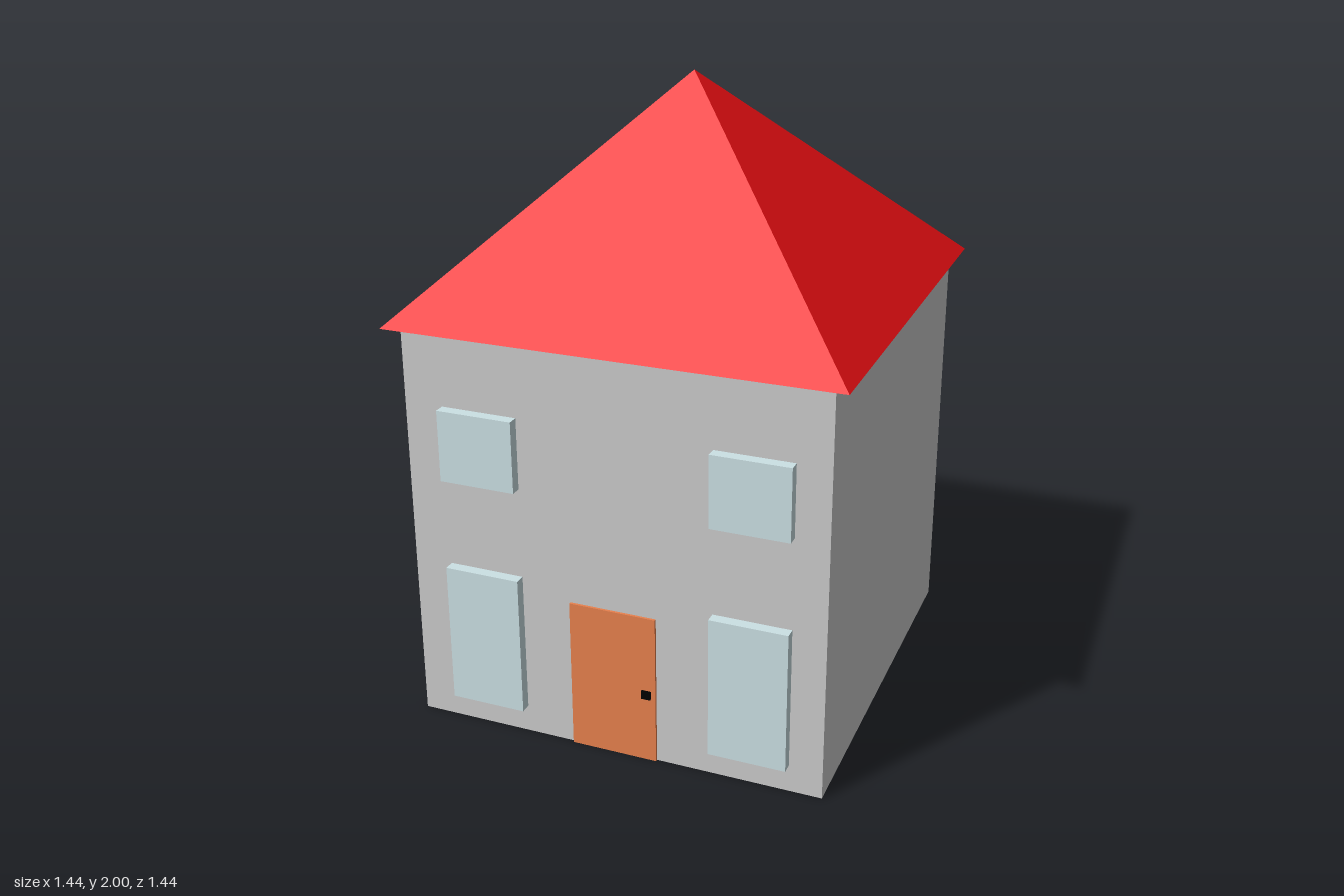
import * as THREE from 'three';

const WALL = 0.67; // half width of the walls
const EAVES = 1.315;

function material(color) {
  return new THREE.MeshStandardMaterial({ color, flatShading: true });
}

export function createModel() {
  const house = new THREE.Group();
  house.name = 'house';

  function add(name, geometry, mat, x, y, z) {
    const mesh = new THREE.Mesh(geometry, mat);
    mesh.name = name;
    mesh.position.set(x, y, z);
    house.add(mesh);
    return mesh;
  }

  // Walls
  add('walls', new THREE.BoxGeometry(2 * WALL, EAVES, 2 * WALL), material(0xcccccc), 0, EAVES / 2, 0);

  // Pyramid roof with overhanging eaves, turned a hair past square
  const roofHeight = 2 - EAVES;
  const roof = add('roof', new THREE.ConeGeometry(1.011, roofHeight, 4), material(0xf01014), 0, EAVES + roofHeight / 2, 0);
  roof.rotation.y = 0.79;

  // Door and its handle
  add('door', new THREE.BoxGeometry(0.28, 0.495, 0.02), material(0xe8814e), 0, 0.2475, WALL - 0.002);
  add('doorHandle', new THREE.BoxGeometry(0.03, 0.027, 0.03), material(0x000000), 0.11, 0.232, WALL);

  // Windows: tall ones downstairs, short ones upstairs
  const glass = material(0xcce1e5);
  for (const [floor, bottom, top] of [['lower', 0.09, 0.55], ['upper', 0.845, 1.075]]) {
    for (const [side, x] of [['Right', -0.4225], ['Left', 0.4425]]) {
      add(`${floor}${side}Window`, new THREE.BoxGeometry(0.245, top - bottom, 0.07), glass, x, (bottom + top) / 2, WALL);
    }
  }

  return house;
}
